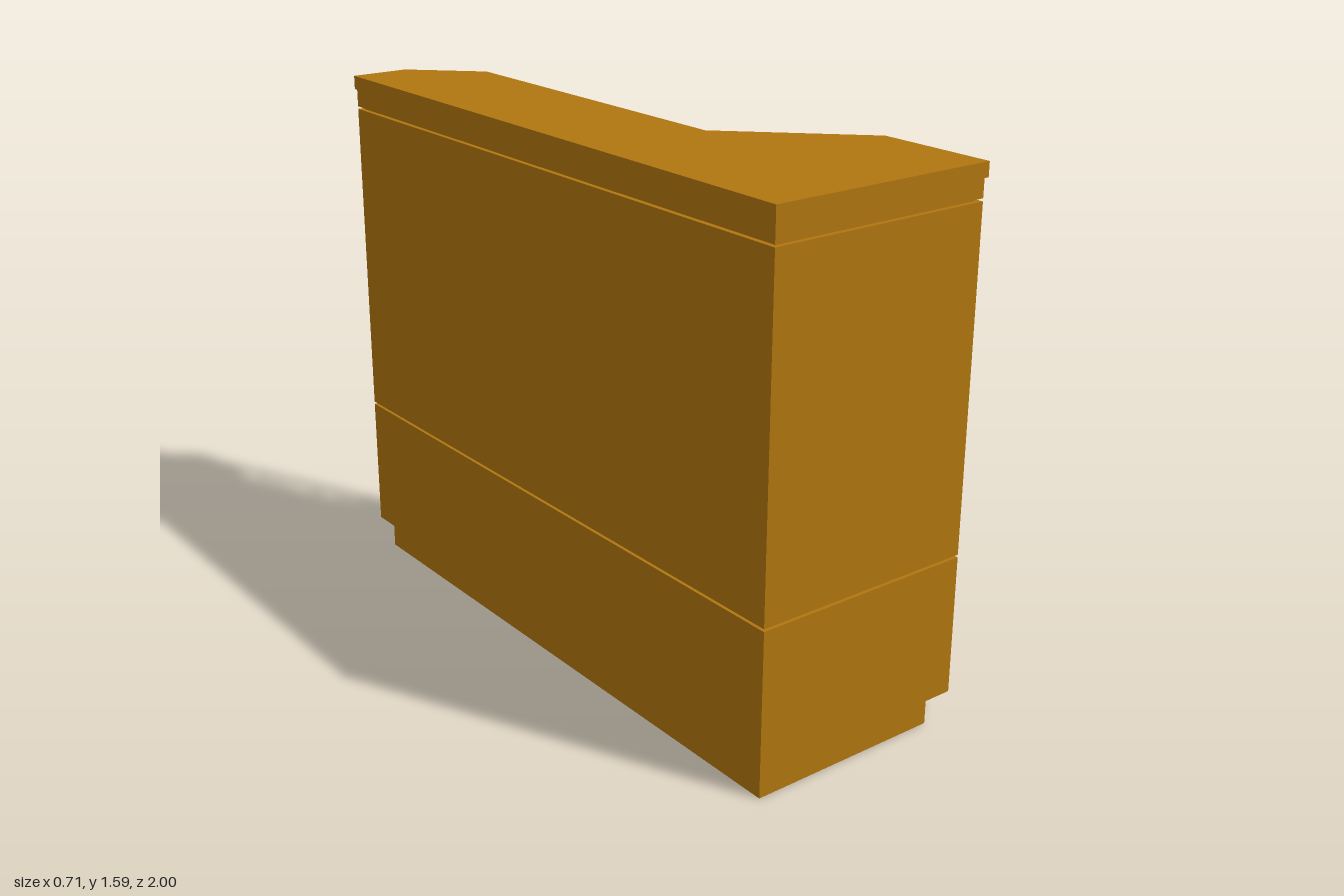
import * as THREE from 'three';

const wood = new THREE.MeshStandardMaterial({ color: 0xb0750f });
wood.name = 'wood';
const mirror = new THREE.MeshStandardMaterial({ color: 0xb4d4d9 });
mirror.name = 'mirrorGlass';
const shelfGlass = new THREE.MeshStandardMaterial({ color: 0x84bcd4 });
shelfGlass.name = 'shelfGlass';

const BACK = -0.357, T = 0.02;

// Plan outline [x, z]: front edges inset by f, back and straight side by b
function outline(f, b = 0) {
  const k = 0.4142 * f;
  return [
    [0.342 - f, 1 - b], [0.342 - f, 0.637 + k], [-f, 0.295 + k],
    [-f, -0.803 + k], [-0.18 - k, -0.983 + f], [BACK + b, -0.983 + f], [BACK + b, 1 - b],
  ];
}

function add(parent, name, geometry, material = wood) {
  const mesh = new THREE.Mesh(geometry, material);
  mesh.name = name;
  parent.add(mesh);
  return mesh;
}

// Horizontal slab over a plan outline
function slab(parent, name, points, y0, y1) {
  const shape = new THREE.Shape(points.map(([x, z]) => new THREE.Vector2(x, z)));
  const g = new THREE.ExtrudeGeometry(shape, { depth: y1 - y0, bevelEnabled: false });
  g.rotateX(Math.PI / 2).translate(0, y1, 0);
  return add(parent, name, g);
}

function box(parent, name, [x0, x1], [y0, y1], [z0, z1], material) {
  const g = new THREE.BoxGeometry(x1 - x0, y1 - y0, z1 - z0);
  g.translate((x0 + x1) / 2, (y0 + y1) / 2, (z0 + z1) / 2);
  return add(parent, name, g, material);
}

// Raised door field: a box whose front face is shrunk to make sloped edges
function raisedField(w, h) {
  const d = 0.014, bevel = 0.04;
  const g = new THREE.BoxGeometry(w, h, d).toNonIndexed();
  const p = g.attributes.position;
  for (let i = 0; i < p.count; i++) {
    if (p.getZ(i) > 0) {
      p.setX(i, p.getX(i) - Math.sign(p.getX(i)) * bevel);
      p.setY(i, p.getY(i) - Math.sign(p.getY(i)) * bevel);
    }
  }
  g.computeVertexNormals();
  return g.translate(0, 0, d / 2);
}

// Front wall segment from p to q with openings [s0, s1] along its length
function wall(parent, name, p, q, openings, [y0, y1], [o0, o1], filled) {
  const u = new THREE.Vector3(q[0] - p[0], 0, q[1] - p[1]);
  const length = u.length();
  u.normalize();
  const up = new THREE.Vector3(0, 1, 0);
  const n = u.clone().cross(up);
  const group = new THREE.Group();
  group.name = name;
  group.applyMatrix4(new THREE.Matrix4().makeBasis(u, up, n)
    .setPosition(p[0] - n.x * T, 0, p[1] - n.z * T));
  const rect = (C, a, b, c, d) => {
    const r = new C();
    r.moveTo(a, c); r.lineTo(b, c); r.lineTo(b, d); r.lineTo(a, d); r.closePath();
    return r;
  };
  const shape = rect(THREE.Shape, 0, length, y0, y1);
  for (const [a, b] of openings) {
    shape.holes.push(rect(THREE.Path, a, b, o0, o1));
    if (filled) {
      add(group, 'doorField', raisedField(b - a, o1 - o0)).position.set((a + b) / 2, (o0 + o1) / 2, 0);
    }
  }
  add(group, name + 'Frame', new THREE.ExtrudeGeometry(shape, { depth: T, bevelEnabled: false }));
  parent.add(group);
}

// Glass shelf edge: thin strips around a section
function shelf(parent, points, y) {
  const group = new THREE.Group();
  group.name = 'glassShelf';
  points.forEach(([x, z], i) => {
    const [x2, z2] = points[(i + 1) % points.length];
    const strip = add(group, 'shelfEdge',
      new THREE.BoxGeometry(Math.hypot(x2 - x, z2 - z), 0.007, 0.003), shelfGlass);
    strip.position.set((x + x2) / 2, y, (z + z2) / 2);
    strip.rotation.y = -Math.atan2(z2 - z, x2 - x);
  });
  parent.add(group);
}

export function createModel() {
  const model = new THREE.Group();
  model.name = 'displayCabinet';

  // Plinth, shadow grooves, cornice
  slab(model, 'plinth', outline(0.09), 0, 0.07);
  slab(model, 'lowerGroove', outline(0.015, 0.015), 0.486, 0.496);
  slab(model, 'upperGroove', outline(0.015, 0.015), 1.484, 1.494);
  slab(model, 'frieze', outline(0), 1.493, 1.545);
  slab(model, 'corniceCap', outline(-0.015), 1.545, 1.587);

  // Openings along each front segment
  const pts = outline(0);
  const bays = [
    [[0.045, 0.315]],
    [[0.09, 0.394]],
    [0, 1, 2].map(i => [0.045 + i * 0.365, 0.323 + i * 0.365]),
    [[0.04, 0.2146]],
    [],
  ];
  bays.forEach((openings, i) => {
    wall(model, 'lowerDoors', pts[i], pts[i + 1], openings, [0.07, 0.487], [0.11, 0.445], true);
    wall(model, 'displayFront', pts[i], pts[i + 1], openings, [0.495, 1.485], [0.535, 1.445], false);
  });

  // Base cupboard and upper case
  slab(model, 'baseCupboard', outline(T), 0.07, 0.487);
  slab(model, 'caseFloor', outline(T), 0.495, 0.53);
  slab(model, 'caseCeiling', outline(T), 1.45, 1.485);
  const inner = [0.53, 1.45];
  box(model, 'backPanel', [BACK, -0.335], inner, [-0.963, 1]);
  box(model, 'sidePanel', [-0.335, 0.322], inner, [0.978, 1]);
  box(model, 'partition', [-0.335, -0.012], inner, [0.282, 0.308]);
  box(model, 'partition', [-0.335, -T], inner, [-0.445, -0.419]);

  // Mirrors inside the case
  const tall = [0.531, 1.449];
  for (const span of [[0.345, 0.915], [-0.395, 0.255], [-0.95, -0.47]]) {
    box(model, 'backMirror', [-0.335, -0.329], tall, span, mirror);
  }
  box(model, 'sideMirror', [-0.285, 0.285], tall, [0.972, 0.978], mirror);

  // Two glass shelves in each section
  const sections = [
    [[-0.325, 0.965], [0.31, 0.965], [0.31, 0.652], [-0.025, 0.317], [-0.325, 0.317]],
    [[-0.325, 0.275], [-0.03, 0.275], [-0.03, -0.412], [-0.325, -0.412]],
    [[-0.325, -0.452], [-0.03, -0.452], [-0.03, -0.79], [-0.192, -0.952], [-0.325, -0.952]],
  ];
  for (const section of sections) {
    for (const y of [0.822, 1.155]) shelf(model, section, y);
  }
  return model;
}
